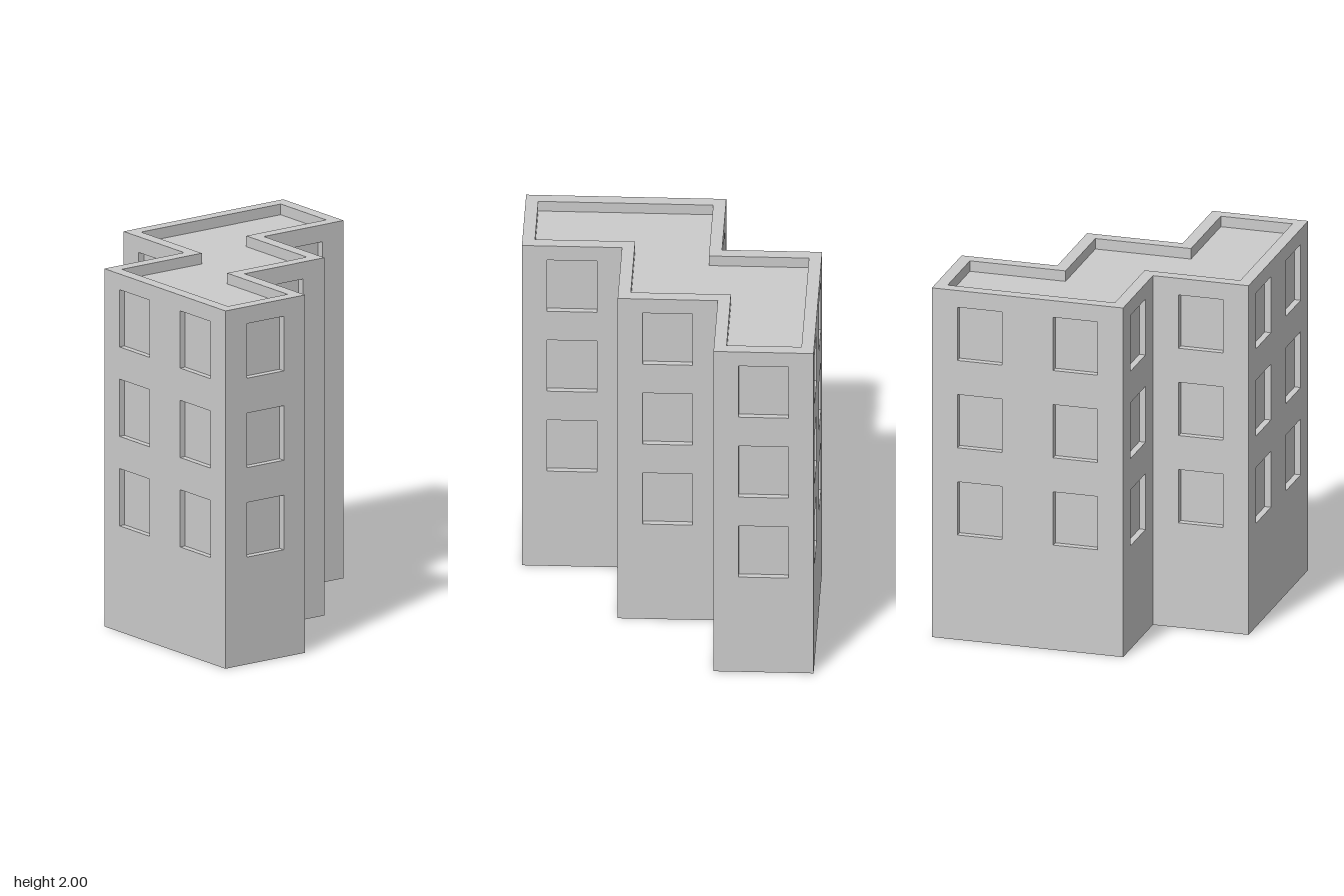
import * as THREE from 'three';

const HEIGHT = 2, BAY = 0.54, RIM = 0.068, ROOF_DROP = 0.06;
const A = 0.81, B = 0.27;

// Stepped footprint as [x, z], walked so that each wall faces outward
const FOOTPRINT = [
  [-A, B], [-B, B], [-B, A], [A, A], [A, B],
  [B, B], [B, -B], [-B, -B], [-B, -A], [-A, -A],
];

const material = new THREE.MeshStandardMaterial({ color: 0xcccccc, side: THREE.DoubleSide });

function addMesh(parent, geometry, name) {
  const mesh = new THREE.Mesh(geometry, material);
  mesh.name = name;
  parent.add(mesh);
  return mesh;
}

// Start, length and heading of every edge of a closed outline
function edgesOf(points) {
  return points.map(([x, z], i) => {
    const [x2, z2] = points[(i + 1) % points.length];
    const length = Math.hypot(x2 - x, z2 - z);
    return { x, z, length, dx: (x2 - x) / length, dz: (z2 - z) / length };
  });
}

// Move each corner inward along the normals of its two walls
function inset(points, t) {
  const edges = edgesOf(points);
  return points.map(([x, z], i) => {
    const e = edges[i], p = edges[(i + points.length - 1) % points.length];
    return [x + t * (e.dz + p.dz), z - t * (e.dx + p.dx)];
  });
}

function rectangle(Type, x0, y0, w, h) {
  const r = new Type();
  r.moveTo(x0, y0).lineTo(x0 + w, y0).lineTo(x0 + w, y0 + h).lineTo(x0, y0 + h);
  r.closePath();
  return r;
}

// Horizontal outlines are drawn with y = -z, then laid flat
const outline = (points) => points.map(([x, z]) => new THREE.Vector2(x, -z));
const flat = (shape, y) => new THREE.ShapeGeometry(shape).rotateX(-Math.PI / 2).translate(0, y, 0);

// Box without its front face: window jambs, sill, head and pane
function recess(w, h, depth) {
  const box = new THREE.BoxGeometry(w, h, depth).translate(0, 0, -depth / 2);
  const index = Array.from(box.index.array);
  index.splice(24, 6);
  box.setIndex(index);
  box.clearGroups();
  return box;
}

// One wall with a column of three windows in each bay
function makeWall(edge) {
  const wall = new THREE.Group();
  wall.name = 'wall';
  const facesZ = Math.abs(edge.dx) > 0.5;
  const w = facesZ ? 0.27 : 0.25, h = facesZ ? 0.32 : 0.305;
  const depth = facesZ ? 0.035 : 0.04;
  const panel = rectangle(THREE.Shape, 0, 0, edge.length, HEIGHT);
  for (let bay = 0; bay < Math.round(edge.length / BAY); bay++) {
    const x = (bay + 0.5) * BAY;
    for (const y of [0.752, 1.252, 1.752]) {
      panel.holes.push(rectangle(THREE.Path, x - w / 2, y - h / 2, w, h));
      addMesh(wall, recess(w, h, depth), 'window').position.set(x, y, 0);
    }
  }
  addMesh(wall, new THREE.ShapeGeometry(panel), 'wallPanel');
  wall.position.set(edge.x, 0, edge.z);
  wall.rotation.y = Math.atan2(-edge.dz, edge.dx);
  return wall;
}

export function createModel() {
  const building = new THREE.Group();
  building.name = 'building';

  // Outer walls, open underneath
  edgesOf(FOOTPRINT).forEach((edge) => building.add(makeWall(edge)));

  // Parapet top and sunken roof
  const inner = inset(FOOTPRINT, RIM);
  const rim = new THREE.Shape(outline(FOOTPRINT));
  rim.holes.push(new THREE.Path(outline(inner)));
  addMesh(building, flat(rim, HEIGHT), 'parapetTop');
  addMesh(building, flat(new THREE.Shape(outline(inner)), HEIGHT - ROOF_DROP), 'roof');

  // Inner faces of the parapet, facing the roof
  for (const e of edgesOf([...inner].reverse())) {
    const side = addMesh(building, new THREE.PlaneGeometry(e.length, ROOF_DROP), 'parapetInside');
    side.position.set(e.x + e.dx * e.length / 2, HEIGHT - ROOF_DROP / 2, e.z + e.dz * e.length / 2);
    side.rotation.y = Math.atan2(-e.dz, e.dx);
  }
  return building;
}
